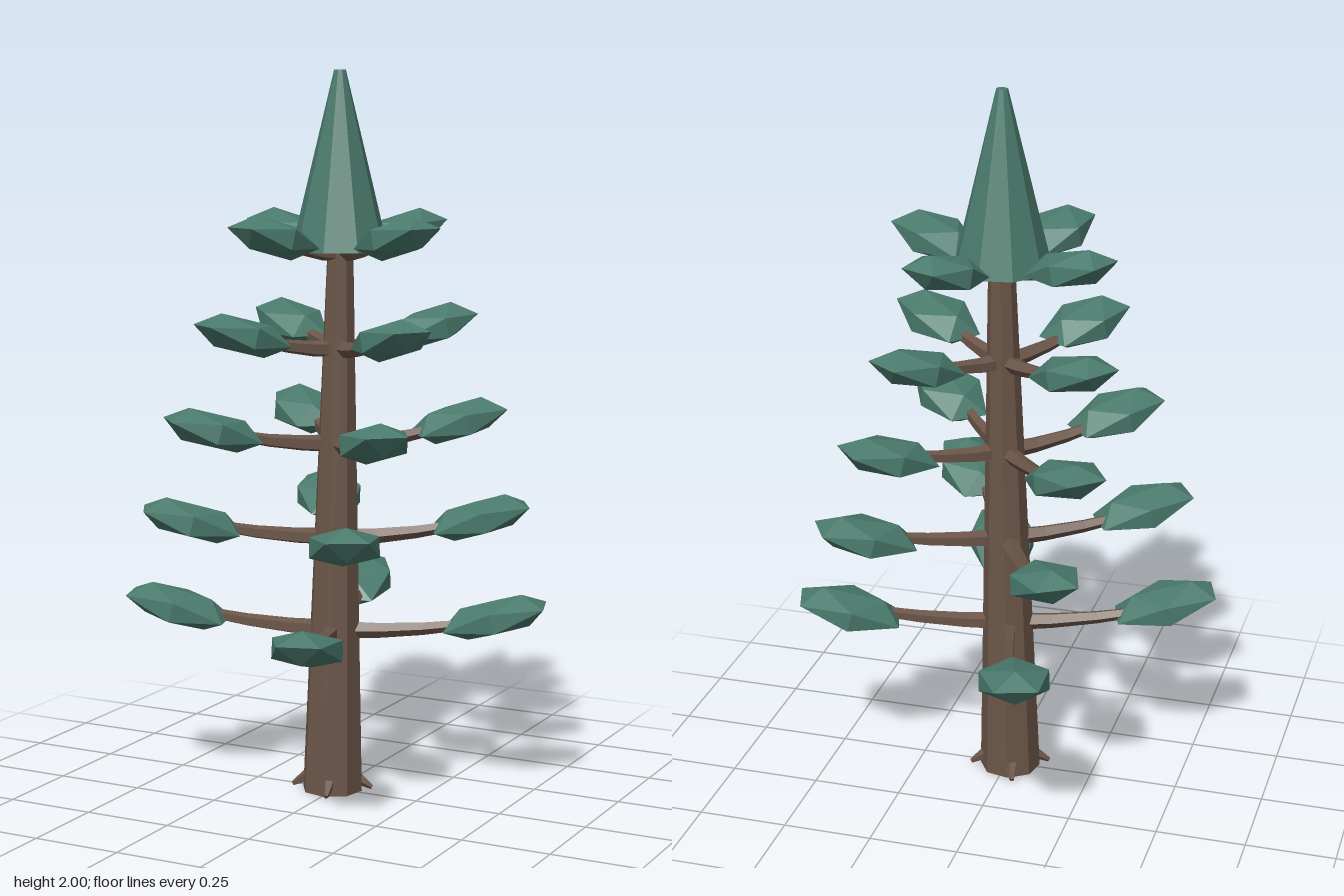
import * as THREE from 'three';

const rad = THREE.MathUtils.degToRad;
const bark = new THREE.MeshStandardMaterial({ color: 0x6b5548, flatShading: true });
const needles = new THREE.MeshStandardMaterial({ color: 0x4a7a6c, flatShading: true });

// The trunk leans slightly toward +x as it rises
const lean = (y) => -0.01 + 0.016 * y;

function mesh(name, geometry, material) {
  const m = new THREE.Mesh(geometry, material);
  m.name = name;
  return m;
}

// Five-sided tapering limb along +x that curves gently upward
function limbGeometry(length, rise) {
  const g = new THREE.CylinderGeometry(0.015, 0.026, length, 5, 3);
  g.rotateZ(-Math.PI / 2);
  g.translate(length / 2, 0, 0);
  const p = g.attributes.position;
  for (let i = 0; i < p.count; i++) {
    p.setY(i, p.getY(i) + rise * (p.getX(i) / length) ** 2);
  }
  g.computeVertexNormals();
  return g;
}

// Stretched faceted tuft: half length, half height, half width
function tuftGeometry(a, h, w) {
  const g = new THREE.IcosahedronGeometry(1, 0);
  g.scale(a / 0.851, h / 0.851, w / 0.851);
  g.rotateZ(rad(15));
  return g;
}

export function createModel() {
  const tree = new THREE.Group();
  tree.name = 'pineTree';

  // Trunk
  const trunk = new THREE.CylinderGeometry(0.036, 0.086, 1.54, 8);
  trunk.translate(0, 0.77, 0);
  trunk.rotateY(rad(10));
  const p = trunk.attributes.position;
  for (let i = 0; i < p.count; i++) p.setX(i, p.getX(i) + lean(p.getY(i)));
  trunk.computeVertexNormals();
  tree.add(mesh('trunk', trunk, bark));

  // Root spurs around the foot
  for (let k = 0; k < 4; k++) {
    const root = new THREE.Group();
    root.name = 'root';
    const g = new THREE.CylinderGeometry(0.007, 0.022, 0.065, 5);
    g.rotateZ(rad(-122));
    g.translate(0.085, 0.026, 0);
    root.add(mesh('rootSpur', g, bark));
    root.position.x = lean(0);
    root.rotation.y = rad(18 + 90 * k);
    tree.add(root);
  }

  // Five whorls of four branches, each turned a little further
  const tips = [0.583, 0.53, 0.475, 0.41, 0.345];
  tips.forEach((tip, tier) => {
    const y = 0.46 + 0.262 * tier;
    const a = 0.142 - 0.006 * tier;
    const limb = limbGeometry(tip - 1.6 * a + 0.02, 0.032);
    const tuft = tuftGeometry(a, 0.045, 0.094 - 0.002 * tier);
    for (let k = 0; k < 4; k++) {
      const branch = new THREE.Group();
      branch.name = 'branch';
      const limbMesh = mesh('limb', limb, bark);
      limbMesh.rotation.y = rad(-2.5);
      const tuftMesh = mesh('needleTuft', tuft, needles);
      tuftMesh.position.set(tip - a * 0.966, 0.05, 0);
      branch.add(limbMesh, tuftMesh);
      branch.position.set(lean(y), y, 0);
      branch.rotation.y = rad(18 + 12.3 * tier + 90 * k);
      tree.add(branch);
    }
  });

  // Pointed crown
  const crown = mesh('crown', new THREE.CylinderGeometry(0.016, 0.134, 0.485, 9), needles);
  crown.position.set(0.013, 1.7575, 0);
  crown.rotation.y = rad(8);
  tree.add(crown);

  return tree;
}
